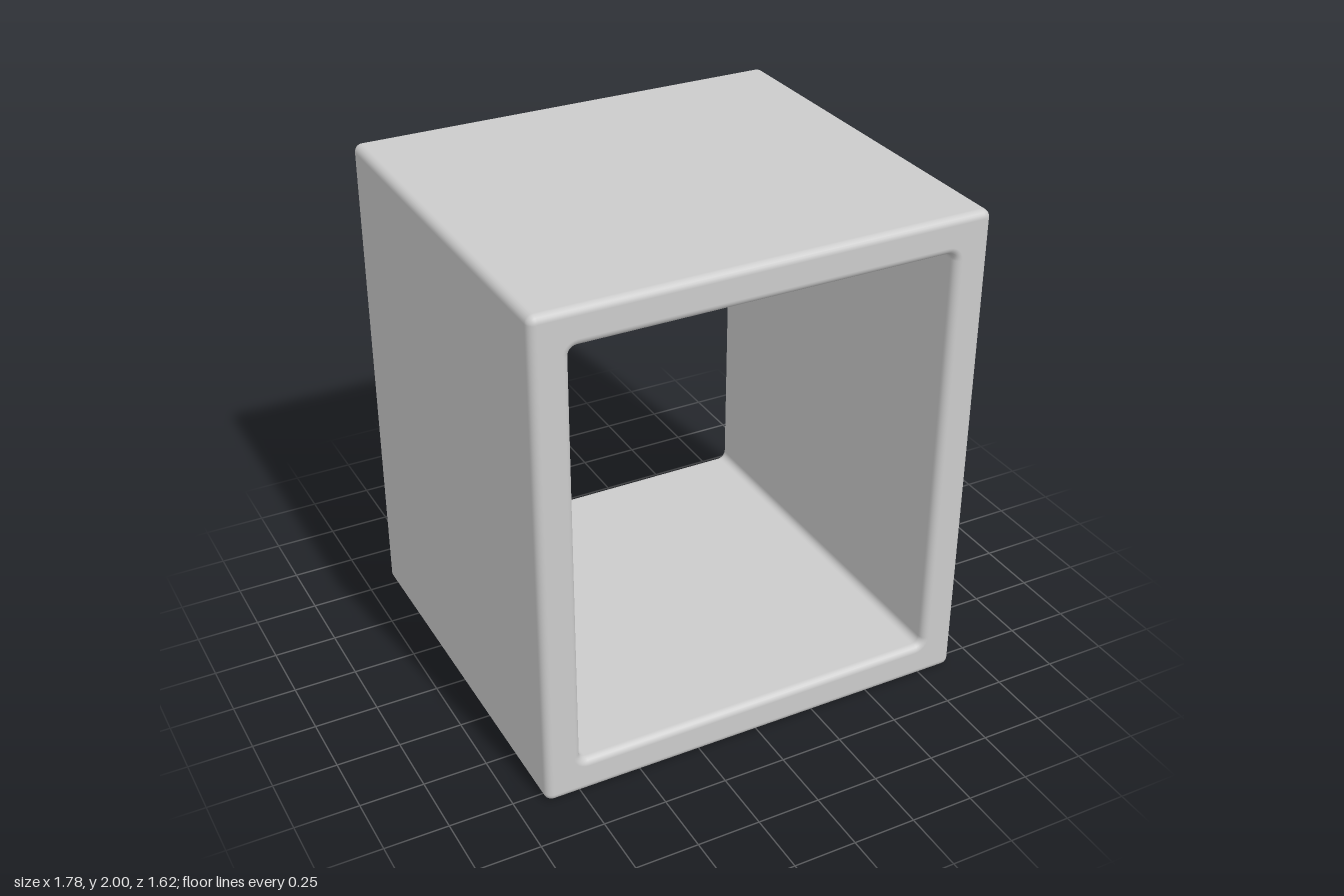
import * as THREE from 'three';

const W = 0.89, H = 1.0, D = 0.81;      // half width, height, depth
const WALL = 0.143, BEVEL = 0.03;       // wall thickness, edge rounding
const R_OUT = 0.032, R_IN = 0.03;       // corner radii of outside and opening
const STEPS = 6;

// Rounded wall section swept around a rounded rectangle, closed on itself
function frameGeometry() {
  const pos = [], nor = [], idx = [];
  let rows = 0, cols = 0;
  // four section edges: outer front, inner front, inner back, outer back
  for (let e = 0; e < 4; e++) {
    const outer = e === 0 || e === 3;
    const cInset = outer ? BEVEL : WALL - BEVEL;
    const cZ = (e < 2 ? 1 : -1) * (D - BEVEL);
    for (let s = 0; s <= STEPS; s++, rows++) {
      const phi = (e + s / STEPS) * Math.PI / 2;
      const a = Math.cos(phi), b = Math.sin(phi);
      const inset = cInset - BEVEL * a, z = cZ + BEVEL * b;
      const r = outer ? R_OUT - inset : R_IN + WALL - inset;
      cols = 0;
      // one rounded rectangle loop, corner by corner
      for (let q = 0; q < 4; q++) {
        const sx = q === 0 || q === 3 ? 1 : -1, sy = q < 2 ? 1 : -1;
        for (let k = 0; k <= STEPS; k++, cols++) {
          const t = (q + k / STEPS) * Math.PI / 2;
          const c = Math.cos(t), d = Math.sin(t);
          pos.push(sx * (W - inset - r) + r * c, H + sy * (H - inset - r) + r * d, z);
          nor.push(a * c, a * d, b);
        }
      }
    }
  }
  for (let i = 0; i < rows; i++) {
    for (let j = 0; j < cols; j++) {
      const i2 = (i + 1) % rows, j2 = (j + 1) % cols;
      const p = i * cols + j, q = i * cols + j2, u = i2 * cols + j2, v = i2 * cols + j;
      idx.push(p, q, u, p, u, v);
    }
  }
  const g = new THREE.BufferGeometry();
  g.setAttribute('position', new THREE.Float32BufferAttribute(pos, 3));
  g.setAttribute('normal', new THREE.Float32BufferAttribute(nor, 3));
  g.setIndex(idx);
  return g;
}

export function createModel() {
  const group = new THREE.Group();
  group.name = 'openCube';
  const frame = new THREE.Mesh(frameGeometry(), new THREE.MeshStandardMaterial({ color: 0xcccccc }));
  frame.name = 'hollowFrame';
  group.add(frame);
  return group;
}
